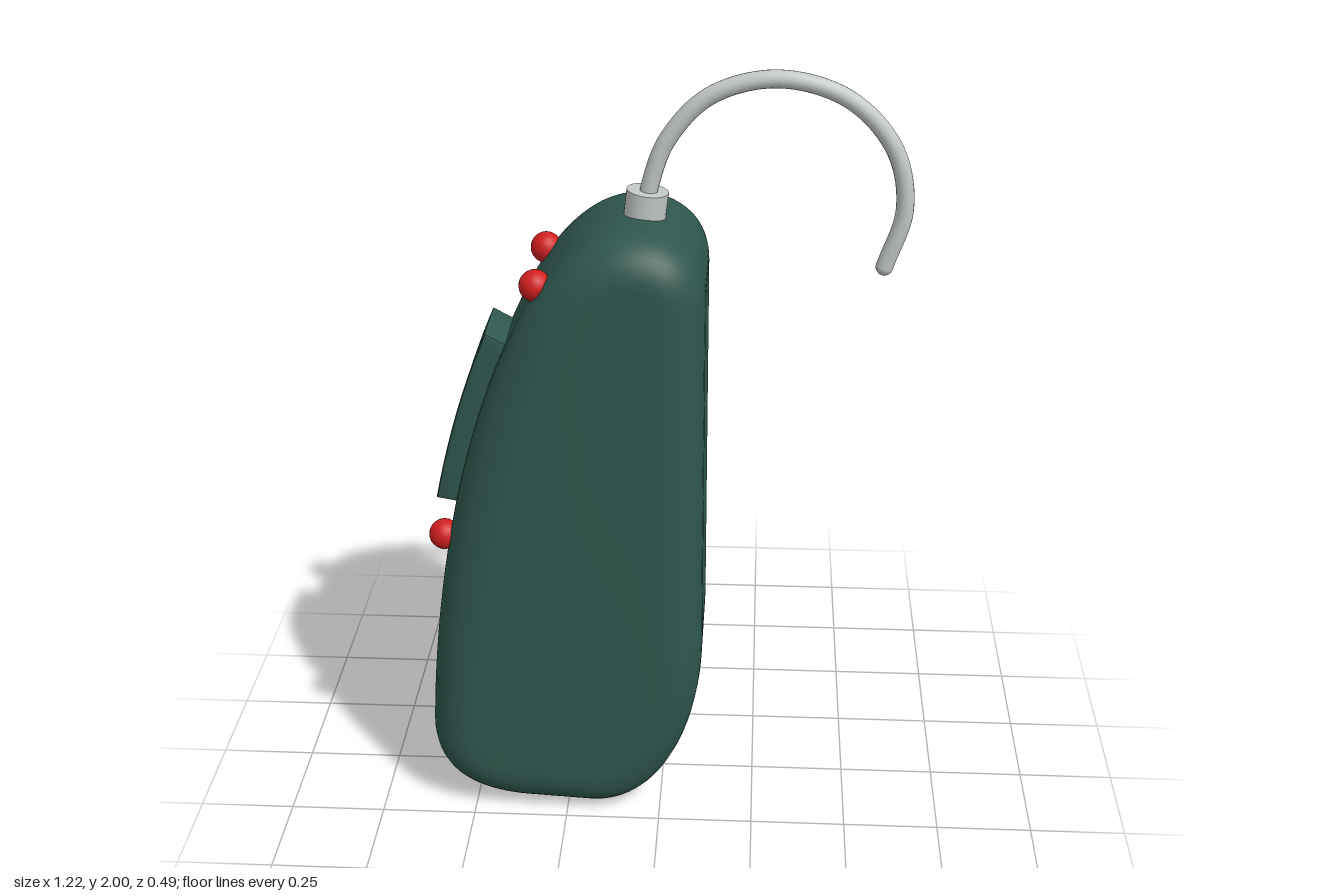
import * as THREE from 'three';
import { mergeVertices, toCreasedNormals } from 'three/addons/utils/BufferGeometryUtils.js';

export function createModel() {
  const group = new THREE.Group();
  const mat = (name, color) => {
    const m = new THREE.MeshStandardMaterial({ color });
    m.name = name;
    return m;
  };
  const green = mat('dark green', 0x2f574e);
  const red = mat('red', 0xd01f1f);
  const grey = mat('light grey', 0xc3c8c7);

  const add = (name, geometry, material, x = 0, y = 0, z = 0) => {
    const mesh = new THREE.Mesh(geometry, material);
    mesh.name = name;
    mesh.position.set(x, y, z);
    group.add(mesh);
    return mesh;
  };

  // Extrudes an outline symmetrically in z, with a rounded edge cut inside it
  const roundedSlab = (shape, width, bevel, segments, curveSegments) => {
    const g = new THREE.ExtrudeGeometry(shape, {
      depth: width - 2 * bevel, bevelEnabled: true, bevelThickness: bevel,
      bevelSize: bevel, bevelOffset: -bevel, bevelSegments: segments, curveSegments,
    });
    g.translate(0, 0, -(width - 2 * bevel) / 2);
    g.deleteAttribute('uv');
    return g;
  };

  // Body: teardrop side profile
  const profile = new THREE.Shape();
  profile.moveTo(0.11, 0.5);
  profile.lineTo(0.11, 1.47);
  profile.bezierCurveTo(0.11, 1.57, 0.04, 1.64, -0.07, 1.64);
  profile.bezierCurveTo(-0.2, 1.64, -0.31, 1.5, -0.38, 1.34);
  profile.bezierCurveTo(-0.52, 1.05, -0.595, 0.6, -0.613, 0.24);
  profile.bezierCurveTo(-0.618, 0.08, -0.5, 0.02, -0.36, 0.01);
  profile.lineTo(-0.18, 0.0);
  profile.bezierCurveTo(0.02, 0.0, 0.11, 0.27, 0.11, 0.5);
  let body = roundedSlab(profile, 0.49, 0.11, 8, 20);
  body.deleteAttribute('normal');
  body = toCreasedNormals(mergeVertices(body, 1e-4), 0.7);
  add('body', body, green);

  // Raised rocker button following the curved edge
  const plate = new THREE.Shape();
  plate.moveTo(-0.585, 0.88);
  plate.lineTo(-0.5, 0.865);
  plate.quadraticCurveTo(-0.46, 1.1, -0.38, 1.315);
  plate.lineTo(-0.44, 1.347);
  plate.quadraticCurveTo(-0.53, 1.14, -0.585, 0.88);
  add('rockerButton', toCreasedNormals(roundedSlab(plate, 0.18, 0.01, 2, 10), 0.6), green);

  // Red studs, two pairs
  for (const [x, y] of [[-0.305, 1.495], [-0.56, 0.8]]) {
    for (const z of [-0.132, 0.132]) {
      add('stud', new THREE.SphereGeometry(0.04, 24, 16), red, x, y, z);
    }
  }

  // Collar at the foot of the hook
  const collar = add('collar', new THREE.CylinderGeometry(0.052, 0.052, 0.12, 32), grey, -0.045, 1.637, 0);
  collar.rotation.z = -0.12;

  // Ear hook tube with a rounded tip
  const path = new THREE.CatmullRomCurve3([
    [-0.045, 1.64], [-0.03, 1.72], [0.01, 1.826], [0.11, 1.934], [0.27, 1.978],
    [0.44, 1.932], [0.555, 1.81], [0.587, 1.66], [0.545, 1.51],
  ].map(([x, y]) => new THREE.Vector3(x, y, 0)));
  add('hook', new THREE.TubeGeometry(path, 72, 0.022, 16), grey);
  add('hookTip', new THREE.SphereGeometry(0.022, 16, 12), grey, 0.545, 1.51, 0);

  return group;
}
